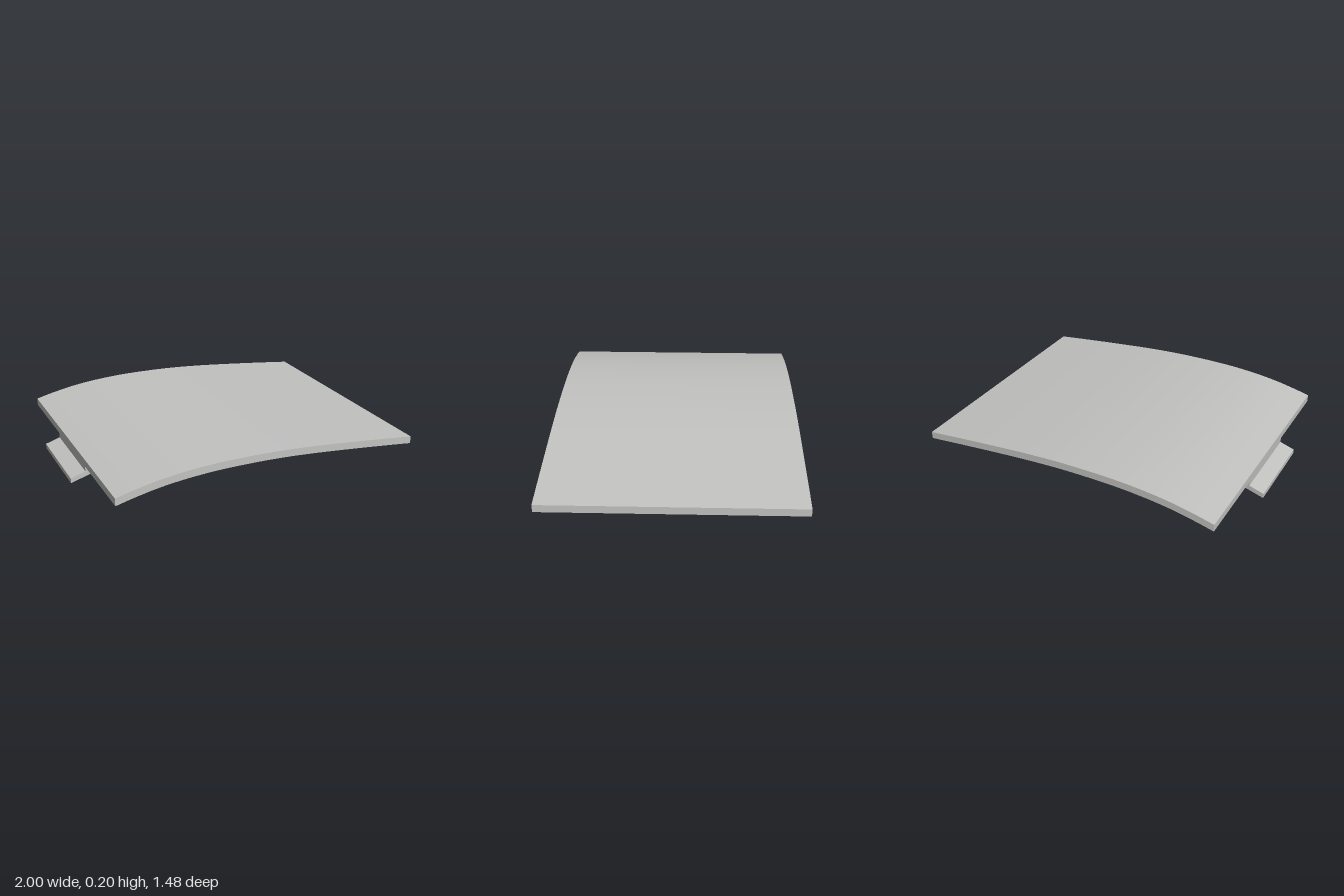
import * as THREE from 'three';
import { toCreasedNormals } from 'three/addons/utils/BufferGeometryUtils.js';

// Crown line of the curved panel
const crown = new THREE.SplineCurve([
  [-0.91, 0.13], [-0.8, 0.154], [-0.65, 0.179], [-0.48, 0.194], [-0.28, 0.199], [0, 0.19],
  [0.25, 0.17], [0.5, 0.142], [0.75, 0.111], [1, 0.078],
].map(([x, y]) => new THREE.Vector2(x, y))).getPoints(90);

function topY(x) {
  let i = 1;
  while (i < crown.length - 1 && crown[i].x < x) i++;
  const a = crown[i - 1], b = crown[i];
  return a.y + (b.y - a.y) * (x - a.x) / (b.x - a.x);
}

// Extrude a side profile from z0 to z1
function extrudeZ(points, z0, z1) {
  const geo = new THREE.ExtrudeGeometry(new THREE.Shape(points), { depth: z1 - z0, bevelEnabled: false });
  geo.translate(0, 0, z0);
  return toCreasedNormals(geo, 0.4);
}

// Curved slab between two depths below the crown line
function slab(x0, x1, upper, lower, z0, z1) {
  const n = Math.max(4, Math.round((x1 - x0) * 24));
  const top = [], bottom = [];
  for (let i = 0; i <= n; i++) {
    const x = x0 + (x1 - x0) * i / n, y = topY(x);
    top.unshift(new THREE.Vector2(x, y - upper));
    bottom.push(new THREE.Vector2(x, y - lower));
  }
  return extrudeZ([...bottom, ...top], z0, z1);
}

export function createModel() {
  const model = new THREE.Group();
  model.name = 'curvedCover';
  const grey = new THREE.MeshStandardMaterial({ color: 0xc2c2c1 });
  grey.name = 'grey plastic';
  const add = (name, geo) => {
    const mesh = new THREE.Mesh(geo, grey);
    mesh.name = name;
    model.add(mesh);
    return mesh;
  };

  const L = -0.912, R = 1, W = 0.74, RIM = 0.066, SKIN = 0.02, THICK = 0.045;

  // Curved skin and the rim around its hollow underside
  add('skin', slab(L, R, 0, SKIN, -W, W));
  add('frontRim', slab(L, R, SKIN, THICK, W - RIM, W));
  add('backRim', slab(L, R, SKIN, THICK, -W, -W + RIM));
  add('tabEndRim', slab(L, L + RIM, SKIN, THICK, -W + RIM, W - RIM));
  add('bossEndRim', slab(R - RIM, R, SKIN, THICK, -W + RIM, W - RIM));

  // Stepped tab
  add('tab', extrudeZ([
    [-1, 0], [-0.87, 0.037], [-0.87, 0.11], [-0.912, 0.1], [-0.912, 0.055], [-1, 0.029],
  ].map(([x, y]) => new THREE.Vector2(x, y)), -0.25, 0.25));

  // Hollow bosses under the far corners
  const ring = [[0.035, 0.079], [0.035, 0.044], [0.055, 0.044], [0.055, 0.079]]
    .map(([r, y]) => new THREE.Vector2(r, y));
  for (const side of [-1, 1]) {
    const boss = add(side > 0 ? 'frontBoss' : 'backBoss',
      toCreasedNormals(new THREE.LatheGeometry(ring, 28), 0.5));
    boss.position.set(0.912, 0, side * 0.57);
  }
  return model;
}
